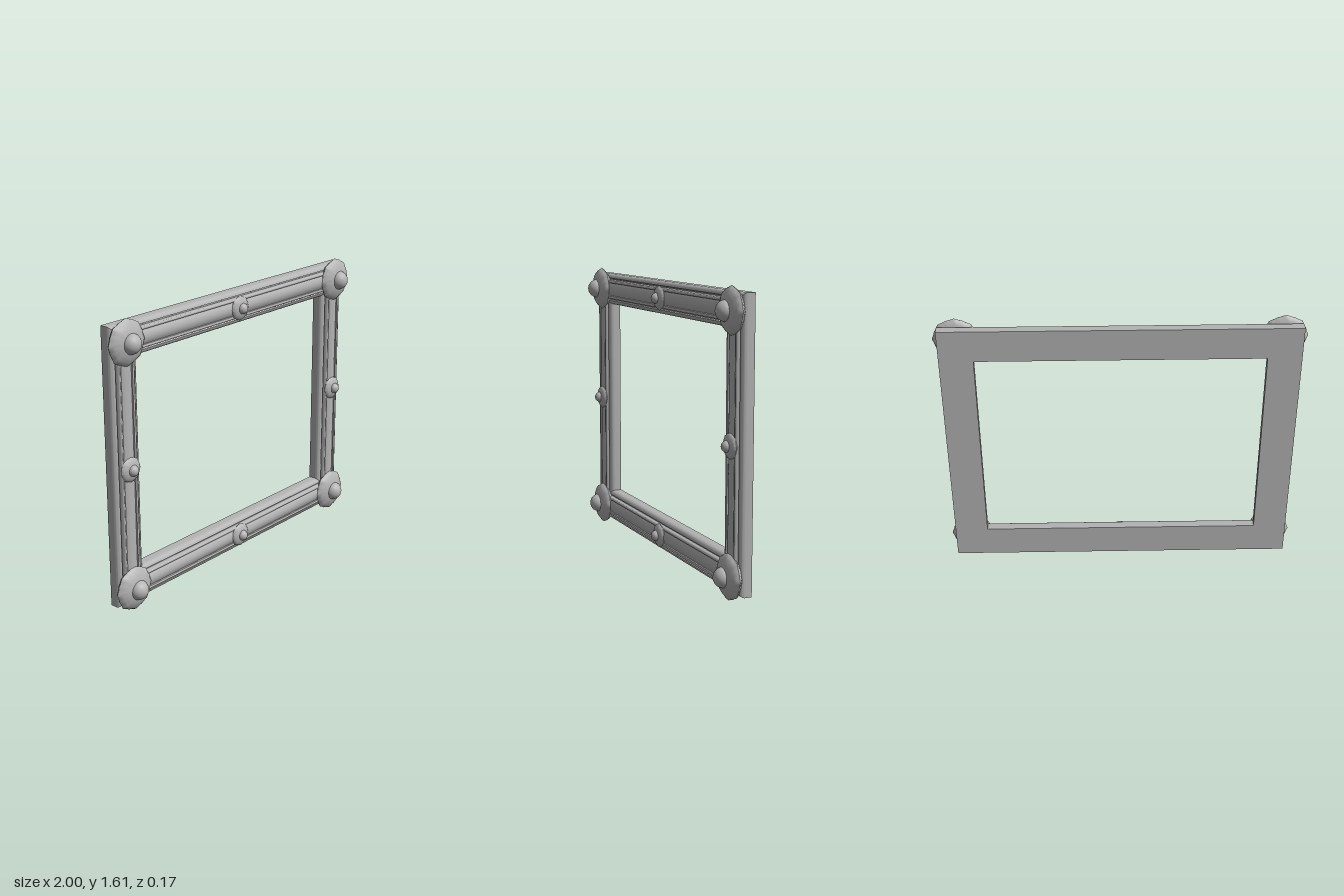
import * as THREE from 'three';
import { toCreasedNormals } from 'three/addons/utils/BufferGeometryUtils.js';

const HALF_W = 0.875, HALF_H = 0.68, MID_Y = 0.806;

// Moulding section: u runs outward across the rail, v is depth (front is +)
function mouldingShape() {
  const s = new THREE.Shape();
  s.moveTo(-0.093, -0.086);
  s.lineTo(0.093, -0.086);
  s.lineTo(0.093, -0.045);
  s.quadraticCurveTo(0.091, -0.024, 0.068, -0.018); // outer round-over
  s.lineTo(0.064, -0.028);
  s.lineTo(0.058, -0.028);
  s.lineTo(0.056, -0.008);
  s.quadraticCurveTo(0.05, 0.001, 0.04, -0.006); // outer bead
  s.lineTo(0.038, -0.013);
  s.quadraticCurveTo(0, 0.013, -0.038, -0.013); // broad centre band
  s.lineTo(-0.04, -0.006);
  s.quadraticCurveTo(-0.05, 0.001, -0.056, -0.008); // inner bead
  s.lineTo(-0.058, -0.028);
  s.lineTo(-0.064, -0.028);
  s.lineTo(-0.068, -0.018);
  s.quadraticCurveTo(-0.091, -0.024, -0.093, -0.045); // inner round-over
  s.closePath();
  return s;
}

// Straight rail along x with mitred ends
function railGeometry(halfLength) {
  const g = new THREE.ExtrudeGeometry(mouldingShape(), { depth: 1, bevelEnabled: false, curveSegments: 8 });
  const p = g.attributes.position;
  for (let i = 0; i < p.count; i++) {
    const u = p.getX(i), v = p.getY(i), e = p.getZ(i);
    p.setXYZ(i, (2 * e - 1) * (halfLength + u), u, v);
  }
  return toCreasedNormals(g, 0.6);
}

// Domed rosette facing +z with a scalloped rim of eight petals
function rosetteGeometry(r, front, back) {
  const pts = [[0, front], [0.35, front * 0.96], [0.6, front * 0.75], [0.8, front * 0.48], [0.93, front * 0.22],
    [1, -0.003], [0.94, back * 0.45], [0.8, back * 0.85], [0.6, back], [0, back]]
    .reverse().map(([a, z]) => new THREE.Vector2(a * r, z));
  const g = new THREE.LatheGeometry(pts, 64);
  g.rotateX(Math.PI / 2);
  const p = g.attributes.position;
  for (let i = 0; i < p.count; i++) {
    const x = p.getX(i), y = p.getY(i), a = Math.atan2(y, x);
    const edge = Math.pow(Math.hypot(x, y) / r, 3);
    const k = 1 - edge * (0.045 * (1 - Math.cos(8 * a)) / 2 + 0.03 * Math.abs(Math.sin(8 * a)));
    p.setXYZ(i, x * k, y * k, p.getZ(i));
  }
  return toCreasedNormals(g, 0.7);
}

export function createModel() {
  const model = new THREE.Group();
  model.name = 'pictureFrame';
  const grey = new THREE.MeshStandardMaterial({ color: 0xb4b4b4 });
  grey.name = 'plainGrey';

  const add = (name, geometry, x, y, z = 0) => {
    const m = new THREE.Mesh(geometry, grey);
    m.name = name;
    m.position.set(x, y, z);
    model.add(m);
    return m;
  };

  // Four mitred rails
  const longRail = railGeometry(HALF_W), sideRail = railGeometry(HALF_H);
  add('topRail', longRail, 0, MID_Y + HALF_H);
  add('bottomRail', longRail, 0, MID_Y - HALF_H).rotation.z = Math.PI;
  add('leftRail', sideRail, HALF_W, MID_Y).rotation.z = -Math.PI / 2;
  add('rightRail', sideRail, -HALF_W, MID_Y).rotation.z = Math.PI / 2;

  // Large rosettes on the corners, small ones at the middle of each rail
  const big = rosetteGeometry(0.126, 0.042, -0.03);
  const small = rosetteGeometry(0.07, 0.022, -0.016);
  const bigKnob = new THREE.SphereGeometry(0.055, 32, 20);
  const smallKnob = new THREE.SphereGeometry(0.031, 24, 16);
  for (const i of [-1, 0, 1]) {
    for (const j of [-1, 0, 1]) {
      if (!i && !j) continue;
      const x = i * HALF_W, y = MID_Y + j * HALF_H;
      const corner = i && j;
      add(corner ? 'cornerRosette' : 'middleRosette', corner ? big : small, x, y);
      add(corner ? 'cornerKnob' : 'middleKnob', corner ? bigKnob : smallKnob, x, y, corner ? 0.029 : 0.016);
    }
  }
  return model;
}
